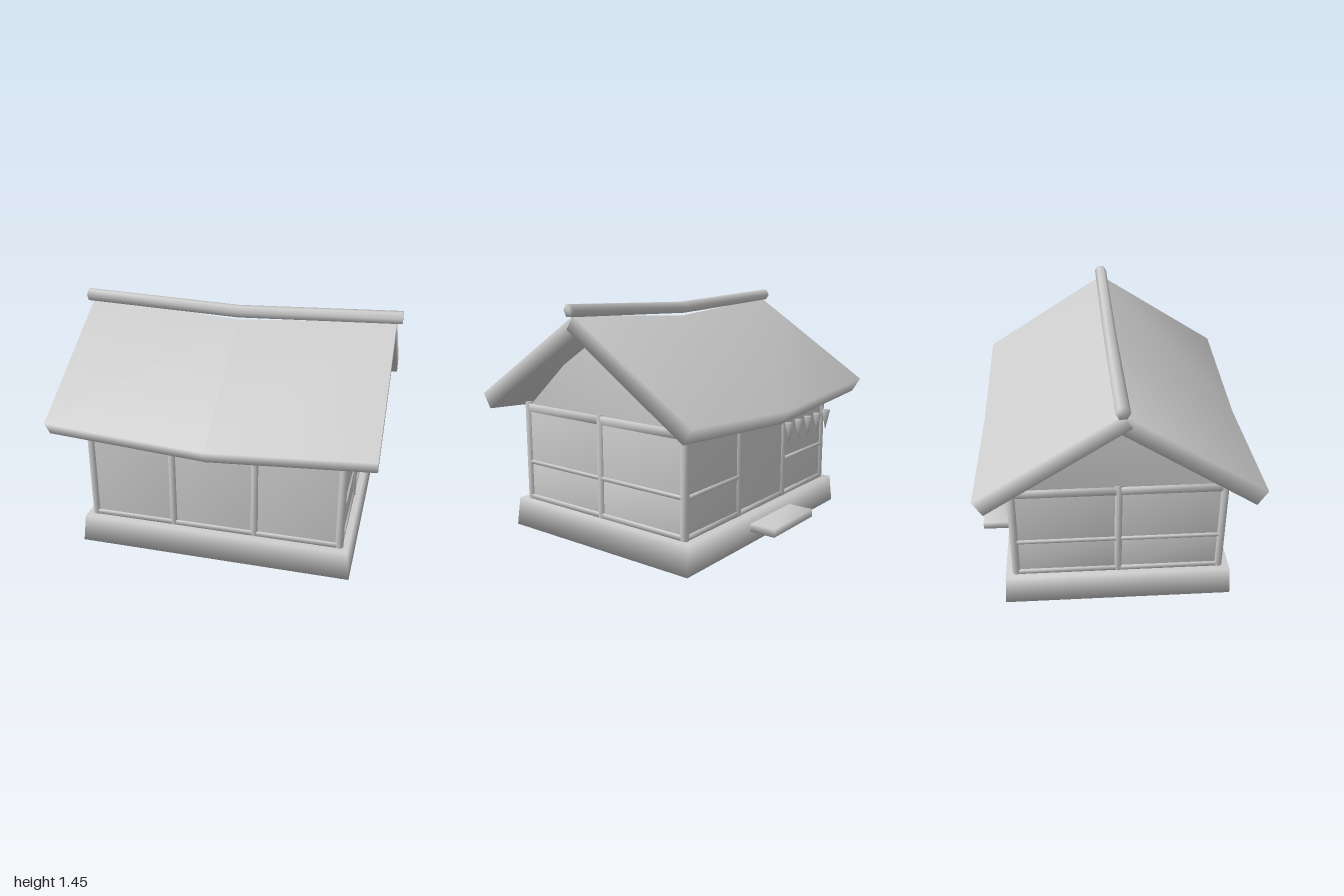
import * as THREE from 'three';
import { mergeVertices } from 'three/addons/utils/BufferGeometryUtils.js';

const ZC = 0.025;                      // middle of the hut along z
const POST_X = [-0.77, -0.255, 0.255, 0.77];
const POST_Z = [ZC - 0.615, ZC, ZC + 0.615];

// Weld corners so that shading runs softly round every edge.
function soften(geometry) {
  geometry.deleteAttribute('normal');
  geometry.deleteAttribute('uv');
  const welded = mergeVertices(geometry, 1e-4);
  welded.computeVertexNormals();
  return welded;
}

function reshape(geometry, rule) {
  const p = geometry.attributes.position;
  const v = new THREE.Vector3();
  for (let i = 0; i < p.count; i++) {
    rule(v.fromBufferAttribute(p, i));
    p.setXYZ(i, v.x, v.y, v.z);
  }
  return geometry;
}

export function createModel() {
  const hut = new THREE.Group();
  hut.name = 'hut';
  const clay = new THREE.MeshStandardMaterial({ color: 0xcccccc });
  clay.name = 'plain grey';

  function add(name, geometry, x, y, z, parent = hut) {
    const mesh = new THREE.Mesh(soften(geometry), clay);
    mesh.name = name;
    mesh.position.set(x, y, z);
    parent.add(mesh);
    return mesh;
  }
  const box = (w, h, d) => new THREE.BoxGeometry(w, h, d);

  // Tapered plinth and the step behind it
  const plinth = reshape(box(1.69, 0.175, 1.38), (v) => {
    if (v.y > 0) { v.x *= 0.825 / 0.845; v.z *= 0.68 / 0.69; }
  });
  add('plinth', plinth, 0, 0.0875, ZC);
  add('step', box(0.46, 0.05, 0.165), -0.005, 0.105, -0.7525);

  // Posts around the edge
  POST_X.forEach((x) => POST_Z.forEach((z) => {
    if (z === ZC && Math.abs(x) < 0.5) return;
    add('post', new THREE.CylinderGeometry(0.026, 0.026, 0.64, 8), x, 0.483, z);
  }));

  // One wall bay, built along x and then turned into place
  function bay(name, width, x, z, turn, middleRail) {
    const group = new THREE.Group();
    group.name = name;
    group.position.set(x, 0, z);
    group.rotation.y = turn;
    hut.add(group);
    add('topRail', box(width, 0.05, 0.04), 0, 0.77, 0, group);
    add('bottomRail', box(width, 0.03, 0.04), 0, 0.19, 0, group);
    if (middleRail) {
      add('middleRail', box(width, 0.022, 0.04), 0, 0.42, 0, group);
      add('upperPanel', box(width, 0.325, 0.02), 0, 0.5875, 0, group);
      add('lowerPanel', box(width, 0.22, 0.02), 0, 0.305, 0, group);
    } else {
      add('panel', box(width, 0.56, 0.02), 0, 0.475, 0, group);
    }
  }
  [-0.5125, 0, 0.5125].forEach((x) => {
    bay('frontWall', 0.5, x, POST_Z[2], 0, false);
    bay('backWall', 0.5, x, POST_Z[0], Math.PI, x !== 0);
  });
  [-1, 1].forEach((side) => {
    [-1, 1].forEach((half) => {
      bay('sideWall', 0.6, side * 0.77, ZC + half * 0.3075, side * Math.PI / 2, true);
    });
    // Gable triangle reaching up into the roof
    const triangle = new THREE.Shape([
      new THREE.Vector2(-0.585, 0), new THREE.Vector2(0.585, 0), new THREE.Vector2(0, 0.53),
    ]);
    const gable = new THREE.ExtrudeGeometry(triangle, { depth: 0.03, bevelEnabled: false });
    gable.translate(0, 0, -0.015).rotateY(Math.PI / 2);
    add('gable', gable, side * 0.765, 0.795, ZC);
  });

  // Sagging roof slabs: the back one laps over the front one at the ridge
  function roofSlab(name, side, length, innerZ, innerY) {
    const slab = reshape(new THREE.BoxGeometry(length, 1, 1, 2, 1, 1), (v) => {
      const outer = v.z * side > 0;
      const top = v.y > 0;
      const sag = 0.065 * (1 - Math.abs(v.x) / (length / 2));
      if (outer) {
        v.z = side * (top ? 0.812 : 0.755);
        v.y = top ? 0.865 : 0.775;
      } else {
        v.z = side * (top ? 0 : innerZ);
        v.y = top ? 1.388 : innerY;
      }
      v.y -= sag;
    });
    add(name, slab, 0, 0, ZC);
  }
  roofSlab('backRoof', -1, 1.936, -0.055, 1.305);
  roofSlab('frontRoof', 1, 1.932, 0, 1.265);

  // Ridge pole bent at the middle
  const pole = new THREE.CylinderGeometry(0.04, 0.04, 2, 6, 2);
  pole.rotateZ(Math.PI / 2);
  reshape(pole, (v) => { v.y -= 0.038 * (1 - Math.abs(v.x)); });
  add('ridgePole', pole, 0, 1.415, ZC);

  // Pointed charms hanging below the back eave
  for (let i = 0; i < 5; i++) {
    const cone = new THREE.ConeGeometry(0.03, 0.13, 6);
    cone.rotateX(Math.PI);
    add('hangingCharm', cone, -0.1 - i * 0.12, 0.635, -0.73);
  }
  return hut;
}
